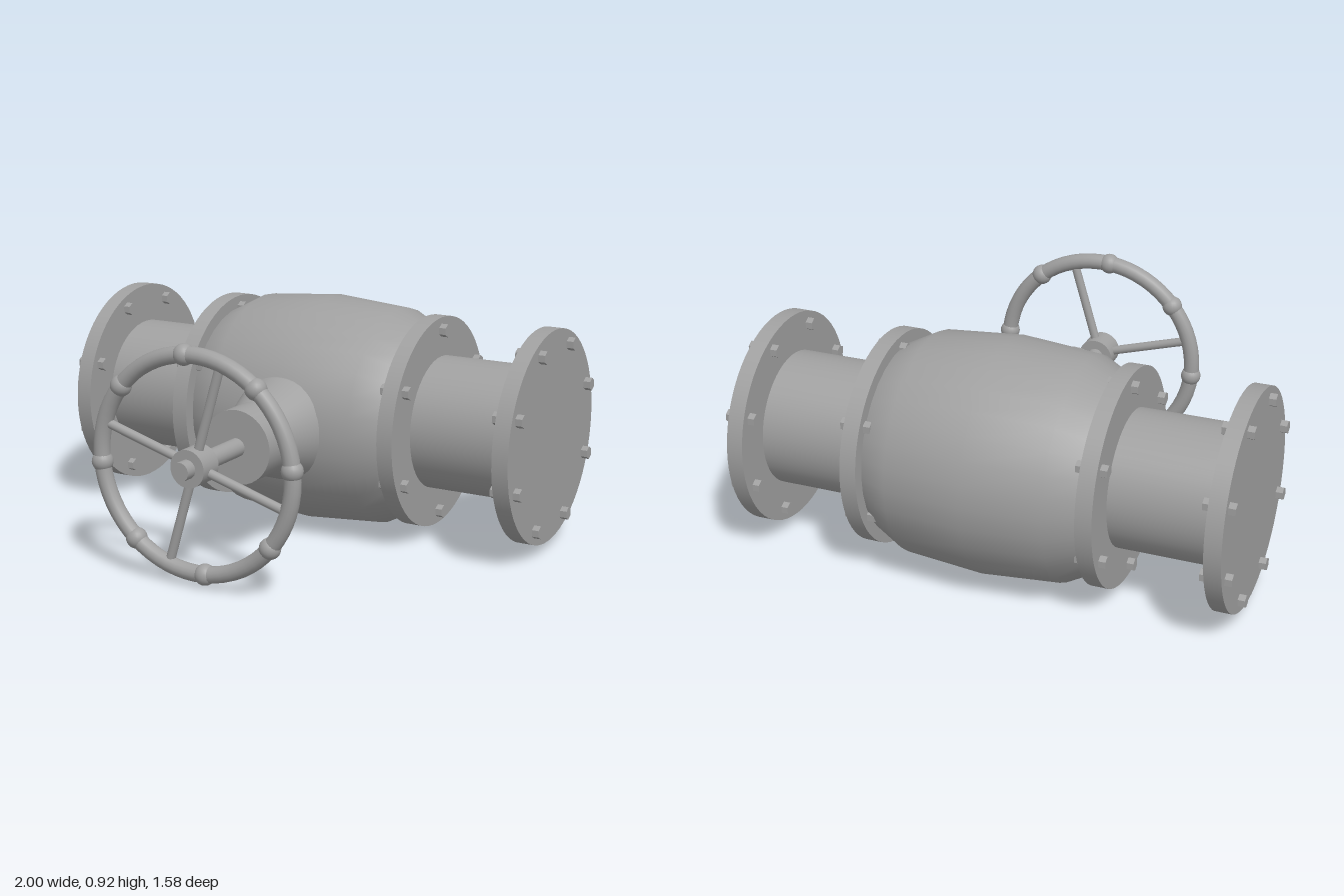
import * as THREE from 'three';

const AXIS_Y = 0.465;   // height of the pipe axis and of the stem
const AXIS_Z = -0.33;   // depth of the pipe axis

export function createModel() {
  const model = new THREE.Group();
  model.name = 'gateValve';
  const steel = new THREE.MeshStandardMaterial({ color: 0xa0a0a0 });
  steel.name = 'greySteel';
  const boltSteel = steel.clone();
  boltSteel.flatShading = true;

  function add(parent, name, geometry, material = steel) {
    const mesh = new THREE.Mesh(geometry, material);
    mesh.name = name;
    parent.add(mesh);
    return mesh;
  }

  // Cylinder along x between two positions
  function alongX(x0, x1, r, sides) {
    return new THREE.CylinderGeometry(r, r, x1 - x0, sides)
      .rotateY(Math.PI / 2).rotateZ(-Math.PI / 2).translate((x0 + x1) / 2, 0, 0);
  }

  // Cylinder or cone along z, radius r0 at z0 and r1 at z1
  function alongZ(z0, z1, r0, r1 = r0, sides = 40, open = false) {
    return new THREE.CylinderGeometry(r1, r0, z1 - z0, sides, 1, open)
      .rotateX(Math.PI / 2).translate(0, 0, (z0 + z1) / 2);
  }

  // ---- Pipe run, built around its own axis ----
  const run = new THREE.Group();
  run.name = 'pipeRun';
  run.position.set(0, AXIS_Y, AXIS_Z);
  model.add(run);

  // Barrel-shaped housing
  const profile = [[0.37, -0.435], [0.435, -0.31], [0.46, 0], [0.435, 0.31], [0.37, 0.435]]
    .map(([r, x]) => new THREE.Vector2(r, x));
  add(run, 'housing', new THREE.LatheGeometry(profile, 32)
    .rotateY(Math.PI / 2).rotateZ(-Math.PI / 2));

  // Flange with a ring of hexagonal through bolts
  function addFlange(side, name, x, count, startAngle) {
    const flange = new THREE.Group();
    flange.name = name;
    flange.position.x = side * x;
    run.add(flange);
    add(flange, 'flangeDisc', alongX(-0.0325, 0.0325, 0.421, 64));
    for (let i = 0; i < count; i++) {
      const a = startAngle + (i / count) * Math.PI * 2;
      add(flange, 'bolt', alongX(-0.06, 0.06, 0.026, 6), boltSteel)
        .position.set(0, Math.sin(a) * 0.37, Math.cos(a) * 0.37);
    }
  }

  for (const side of [1, -1]) {
    const label = side > 0 ? 'left' : 'right';
    add(run, label + 'Pipe', alongX(-0.23, 0.23, 0.265, 48)).position.x = side * 0.7;
    addFlange(side, label + 'InnerFlange', 0.463, 6, Math.PI / 6);
    addFlange(side, label + 'OuterFlange', 0.938, 8, Math.PI / 8);
  }

  // ---- Bonnet and stem, pointing to the front ----
  const bonnet = new THREE.Group();
  bonnet.name = 'bonnet';
  bonnet.position.y = AXIS_Y;
  model.add(bonnet);
  add(bonnet, 'bonnetBase', alongZ(-0.05, 0.085, 0.205, 0.205, 40, true));
  add(bonnet, 'bonnetTaper', alongZ(0.085, 0.255, 0.205, 0.145, 40, true));
  add(bonnet, 'bonnetNeck', alongZ(0.255, 0.402, 0.145));
  add(bonnet, 'stem', alongZ(0.39, 0.79, 0.036, 0.036, 24));

  // ---- Handwheel ----
  const wheel = new THREE.Group();
  wheel.name = 'handwheel';
  wheel.position.set(0, AXIS_Y, 0.692);
  model.add(wheel);
  const R = 0.412;
  add(wheel, 'rim', new THREE.TorusGeometry(R, 0.032, 16, 64));
  add(wheel, 'hub', alongZ(-0.05, 0.05, 0.072, 0.072, 32));

  // Grip knuckles on the rim
  for (let i = 0; i < 8; i++) {
    const a = THREE.MathUtils.degToRad(5.5 + i * 45);
    add(wheel, 'rimKnuckle', new THREE.SphereGeometry(0.041, 20, 14))
      .position.set(Math.cos(a) * R, Math.sin(a) * R, 0);
  }

  // Four spokes
  for (let i = 0; i < 4; i++) {
    const spoke = add(wheel, 'spoke',
      new THREE.CylinderGeometry(0.018, 0.018, R - 0.04, 14).translate(0, (R + 0.04) / 2, 0));
    spoke.rotation.z = THREE.MathUtils.degToRad(-16.5 + i * 90);
  }

  // One shared steel colour for everything, bolts included
  model.traverse((o) => {
    if (o.isMesh && o.material === boltSteel) {
      o.geometry = o.geometry.toNonIndexed();
      o.geometry.computeVertexNormals();
      o.material = steel;
    }
  });
  return model;
}
